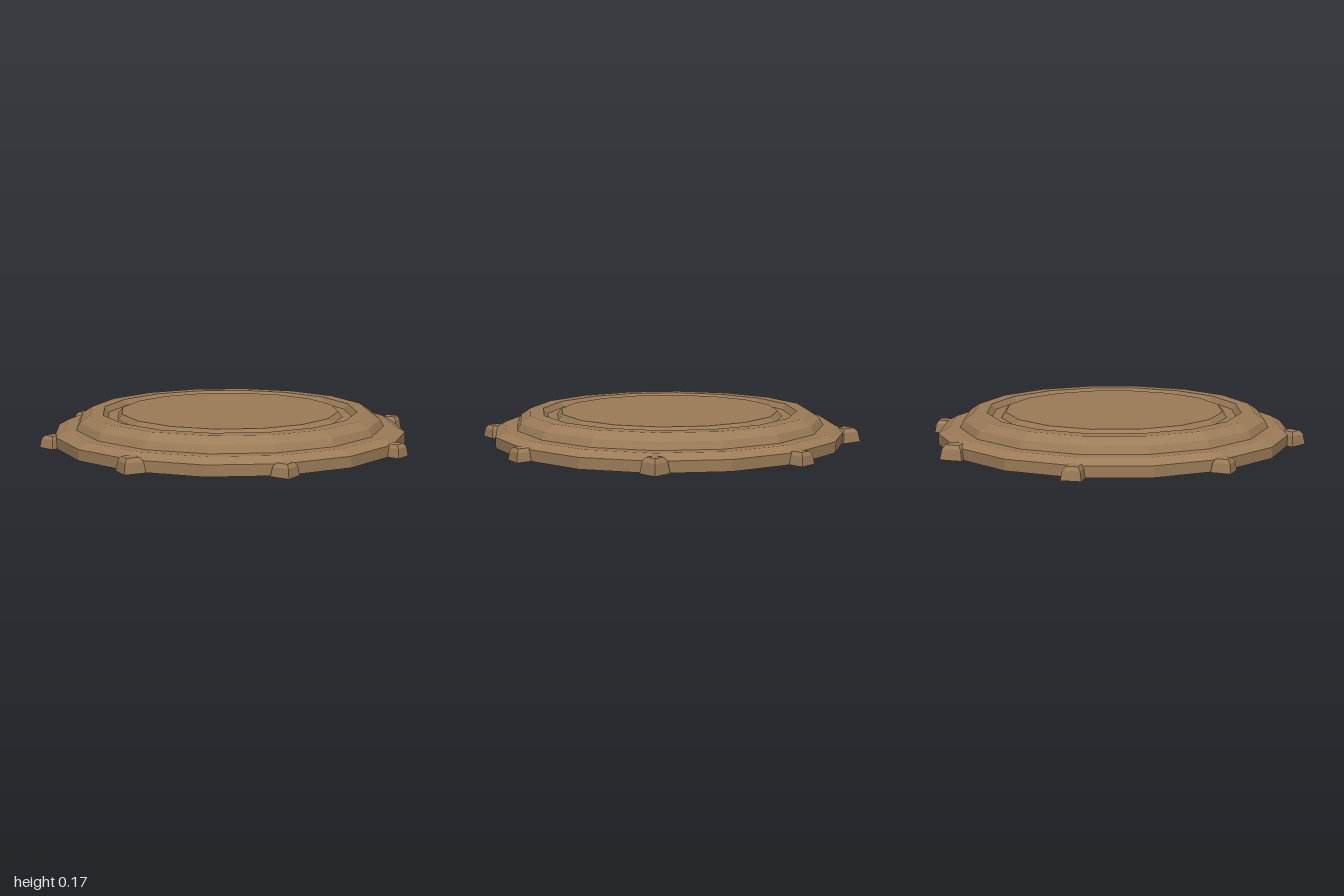
import * as THREE from 'three';

// Faceted solid of revolution from [radius, height] pairs, bottom to top
function facetedLathe(profile, sides) {
  const points = profile.map(([r, y]) => new THREE.Vector2(r, y));
  const geometry = new THREE.LatheGeometry(points, sides).toNonIndexed();
  geometry.computeVertexNormals();
  return geometry;
}

export function createModel() {
  const group = new THREE.Group();
  group.name = 'roundPlatform';
  const earth = new THREE.MeshStandardMaterial({ color: 0x9c7c58 });
  earth.name = 'earth brown';

  // Stepped base with bevelled rims and a groove around the centre
  const base = new THREE.Mesh(facetedLathe([
    [0, 0], [0.99, 0], [0.99, 0.06], [0.935, 0.09], [0.87, 0.09],
    [0.85, 0.13], [0.795, 0.167], [0.72, 0.167],
    [0.695, 0.137], [0.64, 0.137], [0.615, 0.167], [0, 0.167],
  ], 16), earth);
  base.name = 'steppedBase';
  group.add(base);

  // Small tapered stones around the edge: x, z, turn in degrees, width, height
  const stones = [
    [-0.365, -0.92, 29, 0.125, 0.08], [0.375, -0.93, 15, 0.105, 0.07],
    [0.915, -0.385, 17, 0.105, 0.085], [0.925, 0.38, 30, 0.105, 0.07],
    [0.385, 0.92, 27, 0.105, 0.07], [-0.38, 0.92, -34, 0.115, 0.08],
    [-0.925, 0.37, 34, 0.105, 0.07], [-0.93, -0.39, 24, 0.105, 0.07],
  ];
  stones.forEach(([x, z, turn, width, height], i) => {
    const r = width * Math.SQRT1_2;
    const stone = new THREE.Mesh(facetedLathe([
      [0, 0], [r, 0], [r * 0.85, height * 0.7], [r * 0.6, height * 0.97], [0, height],
    ], 4), earth);
    stone.name = `edgeStone${i + 1}`;
    stone.position.set(x, 0, z);
    stone.rotation.y = Math.PI / 4 - THREE.MathUtils.degToRad(turn);
    group.add(stone);
  });
  return group;
}
